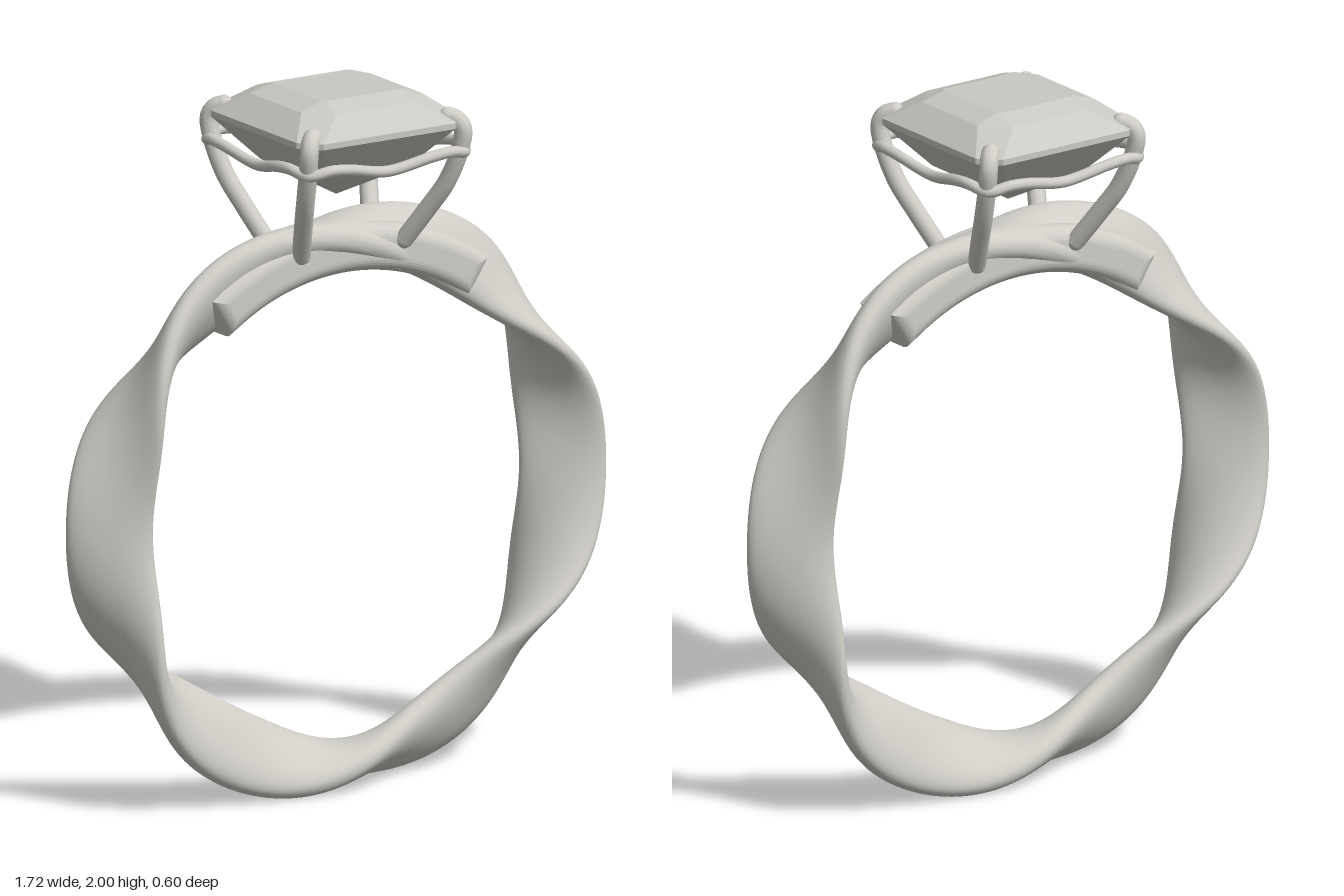
import * as THREE from 'three';

const metal = new THREE.MeshStandardMaterial({ color: 0xcfcdc6 });
metal.name = 'silver metal';
const stone = new THREE.MeshStandardMaterial({ color: 0xc9c8c2 });
stone.name = 'pale stone';

const CENTRE_Y = 0.82, RADIUS = 0.75;
const V = (x, y, z) => new THREE.Vector3(x, y, z);

function add(group, name, geometry, material) {
  const mesh = new THREE.Mesh(geometry, material);
  mesh.name = name;
  group.add(mesh);
  return mesh;
}

// Quad grid joined into a closed skin; rows may wrap round
function gridIndex(rows, cols, wrapRows) {
  const index = [];
  for (let i = 0; i < (wrapRows ? rows : rows - 1); i++) {
    for (let j = 0; j < cols; j++) {
      const i2 = (i + 1) % rows, j2 = (j + 1) % cols;
      const a = i * cols + j, b = i2 * cols + j, c = i * cols + j2, d = i2 * cols + j2;
      index.push(a, b, c, b, d, c);
    }
  }
  return index;
}

function skin(positions, index) {
  const g = new THREE.BufferGeometry();
  g.setAttribute('position', new THREE.Float32BufferAttribute(positions, 3));
  g.setIndex(index);
  return g;
}

// Band: a flat rounded section that rocks to and fro six times round the hoop
function wavyBand() {
  const rows = 216, cols = 48, pos = [];
  const soft = (n) => Math.sign(n) * Math.abs(n) ** 0.88;
  for (let i = 0; i < rows; i++) {
    const t = (i / rows) * Math.PI * 2;
    const tilt = Math.PI / 2 - THREE.MathUtils.degToRad(61) * Math.cos(3 * t);
    const c = Math.cos(tilt), s = Math.sin(tilt);
    const halfWidth = 0.121 - 0.02 * Math.max(0, Math.sin(t)) ** 8;
    const halfThick = 0.035 + 0.021 * Math.sin(t) ** 2;
    for (let j = 0; j < cols; j++) {
      const k = (j / cols) * Math.PI * 2;
      const u = halfWidth * soft(Math.cos(k)), v = halfThick * soft(Math.sin(k));
      const r = RADIUS + u * c - v * s;
      pos.push(r * Math.cos(t), CENTRE_Y + r * Math.sin(t), u * s + v * c);
    }
  }
  const g = skin(pos, gridIndex(rows, cols, true));
  g.computeVertexNormals();
  return g;
}

// Curved bar with round ends that strengthens the band under the setting
function supportBar() {
  const a0 = THREE.MathUtils.degToRad(57), a1 = Math.PI - a0;
  const shape = new THREE.Shape();
  shape.absarc(0, 0, 0.75, a0, a1, false);
  shape.absarc(0, 0, 0.7, a1, a0, true);
  const g = new THREE.ExtrudeGeometry(shape, {
    depth: 0.09, curveSegments: 32, bevelSize: 0.043, bevelThickness: 0.043, bevelSegments: 8,
  });
  return g.translate(0, CENTRE_Y, -0.045);
}

// Step-cut stone: cut-corner squares stacked from point to table
function stepCutStone() {
  const rings = [ // height, half width, corner cut
    [1.69, 0, 0], [1.785, 0.165, 0.035], [1.903, 0.272, 0.055], [1.92, 0.272, 0.055],
    [1.978, 0.2, 0.07], [2, 0.132, 0.01], [2, 0, 0],
  ];
  const pos = [];
  for (const [y, h, cut] of rings) {
    const k = h - cut;
    for (const [x, z] of [[h, -k], [h, k], [k, h], [-k, h], [-h, k], [-h, -k], [-k, -h], [k, -h]]) {
      pos.push(x, y, z);
    }
  }
  const g = skin(pos, gridIndex(rings.length, 8, false)).toNonIndexed();
  g.computeVertexNormals();
  return g;
}

// Wire gallery: dips between the prongs and bulges around them
function galleryWire() {
  const pts = [];
  for (let q = 0; q < 4; q++) {
    const a = q * Math.PI / 2;
    for (const [x, y, z] of [[0.265, 1.812, 0], [0.281, 1.838, 0.14], [0.282, 1.843, 0.2],
      [0.258, 1.83, 0.258], [0.2, 1.843, 0.282], [0.14, 1.838, 0.281]]) {
      pts.push(V(x * Math.cos(a) - z * Math.sin(a), y, x * Math.sin(a) + z * Math.cos(a)));
    }
  }
  return new THREE.TubeGeometry(new THREE.CatmullRomCurve3(pts, true), 128, 0.016, 10, true);
}

// Prong: rises from the band and hooks over a stone corner
function prong(sx, sz) {
  const g = new THREE.Group();
  g.name = 'prong';
  const path = [[0.17, 1.555, 0.085], [0.205, 1.65, 0.148], [0.235, 1.74, 0.205],
    [0.252, 1.84, 0.245], [0.254, 1.895, 0.254], [0.243, 1.92, 0.243], [0.224, 1.93, 0.224]]
    .map(([x, y, z]) => V(x * sx, y, z * sz));
  add(g, 'prongStem', new THREE.TubeGeometry(new THREE.CatmullRomCurve3(path), 40, 0.026, 12), metal);
  for (const end of [path[0], path[path.length - 1]]) {
    add(g, 'prongTip', new THREE.SphereGeometry(0.026, 14, 10), metal).position.copy(end);
  }
  return g;
}

export function createModel() {
  const model = new THREE.Group();
  model.name = 'ring';
  add(model, 'wavyBand', wavyBand(), metal);
  add(model, 'supportBar', supportBar(), metal);
  add(model, 'galleryWire', galleryWire(), metal);
  for (const sx of [-1, 1]) for (const sz of [-1, 1]) model.add(prong(sx, sz));
  add(model, 'stone', stepCutStone(), stone);
  return model;
}
